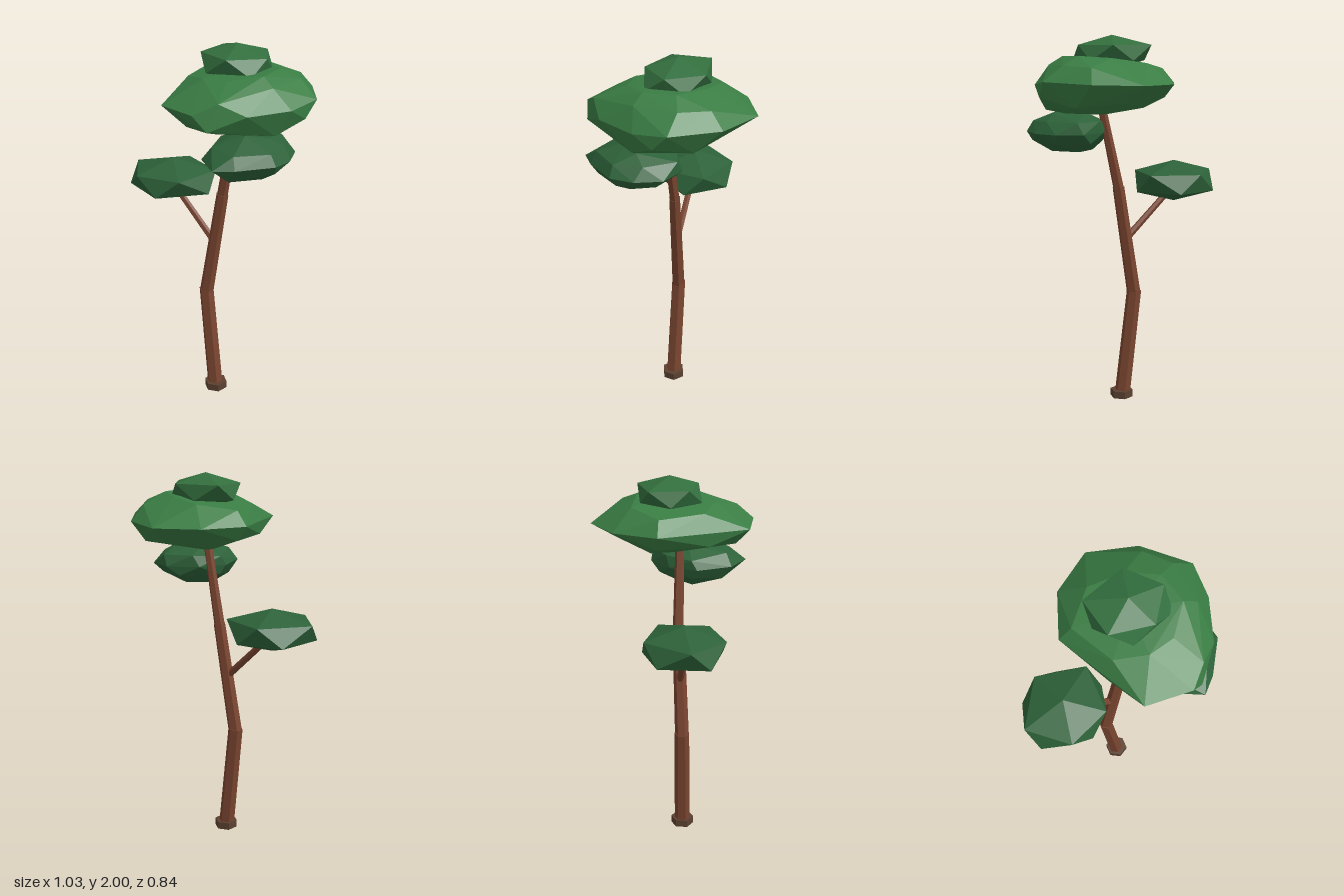
import * as THREE from 'three';
import { ConvexGeometry } from 'three/addons/geometries/ConvexGeometry.js';

const material = (color) => new THREE.MeshStandardMaterial({ color, flatShading: true });
const bark = material(0x7a4530);
const rootBrown = material(0x5a4030);
const lightLeaf = material(0x3a7d44);
const darkLeaf = material(0x2d6239);

// Tapered six-sided limb between two points
function limb(name, from, to, r0, r1, mat = bark) {
  const a = new THREE.Vector3(...from);
  const b = new THREE.Vector3(...to);
  const dir = b.clone().sub(a);
  const mesh = new THREE.Mesh(new THREE.CylinderGeometry(r1, r0, dir.length(), 6), mat);
  mesh.position.copy(a).add(b).multiplyScalar(0.5);
  mesh.quaternion.setFromUnitVectors(new THREE.Vector3(0, 1, 0), dir.normalize());
  mesh.name = name;
  return mesh;
}

// Faceted leaf clump: hull of [x, y, z] points
function clump(name, points, mat) {
  const mesh = new THREE.Mesh(new ConvexGeometry(points.map((p) => new THREE.Vector3(...p))), mat);
  mesh.name = name;
  return mesh;
}

// Squashed 20-sided clump: an upper ring of five, its mirror through the centre, two poles
function smallClump(name, [cx, cy, cz], height, ring, mat) {
  const points = [[cx, cy + height, cz], [cx, cy - height, cz]];
  for (const [x, z] of ring) {
    points.push([cx + x, cy + height * 0.44, cz + z], [cx - x, cy - height * 0.44, cz - z]);
  }
  return clump(name, points, mat);
}

export function createModel() {
  const tree = new THREE.Group();
  tree.name = 'tree';

  // Bent trunk and side branch
  tree.add(
    limb('rootCollar', [0.02, 0.01, 0.063], [0.02, 0.05, 0.063], 0.063, 0.063, rootBrown),
    limb('lowerTrunk', [0.018, 0.005, 0.063], [-0.053, 0.62, 0.063], 0.043, 0.04),
    limb('middleTrunk', [-0.05, 0.61, 0.063], [0.045, 1.2, 0.035], 0.038, 0.032),
    limb('upperTrunk', [0.043, 1.19, 0.035], [0.14, 1.65, 0.035], 0.029, 0.022),
    limb('sideBranch', [-0.01, 0.92, 0.05], [-0.26, 1.16, 0.085], 0.019, 0.017),
  );

  // Small clumps at the top and on the side branch
  tree.add(
    smallClump('topFoliage', [0.095, 1.91, -0.015], 0.09,
      [[0.045, -0.17], [0.185, -0.02], [0.07, 0.145], [-0.145, 0.11], [-0.185, -0.09]], lightLeaf.clone()),
    smallClump('branchFoliage', [-0.29, 1.217, 0.085], 0.112,
      [[-0.23, 0.05], [-0.04, 0.215], [0.185, 0.12], [0.185, -0.145], [-0.08, -0.195]], darkLeaf),
  );
  tree.getObjectByName('topFoliage').material.color.set(0x336f3e);

  // Broad main crown
  tree.add(clump('mainFoliage', [
    // top
    [0.1, 1.885, 0], [0.3, 1.895, -0.11], [0.34, 1.893, 0.05], [0.15, 1.885, -0.19],
    // upper ring
    [-0.03, 1.86, -0.2], [-0.17, 1.83, -0.05], [-0.06, 1.84, 0.17], [0.1, 1.865, 0.22],
    [0.23, 1.87, 0.19], [0.32, 1.81, 0.33], [0.41, 1.85, 0.06], [0.39, 1.85, -0.16], [0.28, 1.84, -0.28],
    // rim
    [0.05, 1.755, -0.42], [0.3, 1.76, -0.35], [0.495, 1.77, -0.16], [0.495, 1.75, 0.02],
    [0.42, 1.75, 0.24], [0.235, 1.755, 0.418], [0, 1.75, 0.4], [-0.235, 1.755, -0.05], [-0.15, 1.755, -0.28],
    // underside
    [0.495, 1.69, -0.08], [0.43, 1.62, 0.06], [0.3, 1.68, 0.385], [0.1, 1.65, 0.33], [-0.09, 1.68, 0.2],
    [-0.18, 1.68, -0.06], [-0.05, 1.63, -0.1], [0.12, 1.665, -0.29], [0.34, 1.64, -0.22],
    [0.33, 1.6, 0.03], [0.13, 1.59, 0.02], [0.2, 1.61, 0.22],
  ], lightLeaf));

  // Clump tucked under the crown
  tree.add(clump('lowerFoliage', [
    // top
    [0.32, 1.617, 0.15], [0.22, 1.605, 0.08], [0.39, 1.6, 0.06],
    // upper ring
    [0.1, 1.55, 0.1], [0.17, 1.56, -0.04], [0.31, 1.56, -0.12], [0.44, 1.56, 0], [0.48, 1.56, 0.14],
    [0.38, 1.56, 0.29], [0.22, 1.565, 0.28],
    // rim
    [0.09, 1.5, 0.13], [0.14, 1.5, -0.02], [0.28, 1.5, -0.13], [0.42, 1.5, -0.1], [0.495, 1.5, 0.02],
    [0.515, 1.505, 0.14], [0.41, 1.5, 0.31], [0.335, 1.5, 0.385], [0.18, 1.5, 0.31],
    // underside
    [0.11, 1.45, 0.1], [0.23, 1.45, -0.08], [0.4, 1.45, -0.05], [0.49, 1.46, 0.12], [0.36, 1.43, 0.3],
    [0.2, 1.43, 0.26], [0.17, 1.4, 0.1], [0.27, 1.4, 0], [0.39, 1.4, 0.1], [0.29, 1.4, 0.2],
  ], darkLeaf));

  return tree;
}
